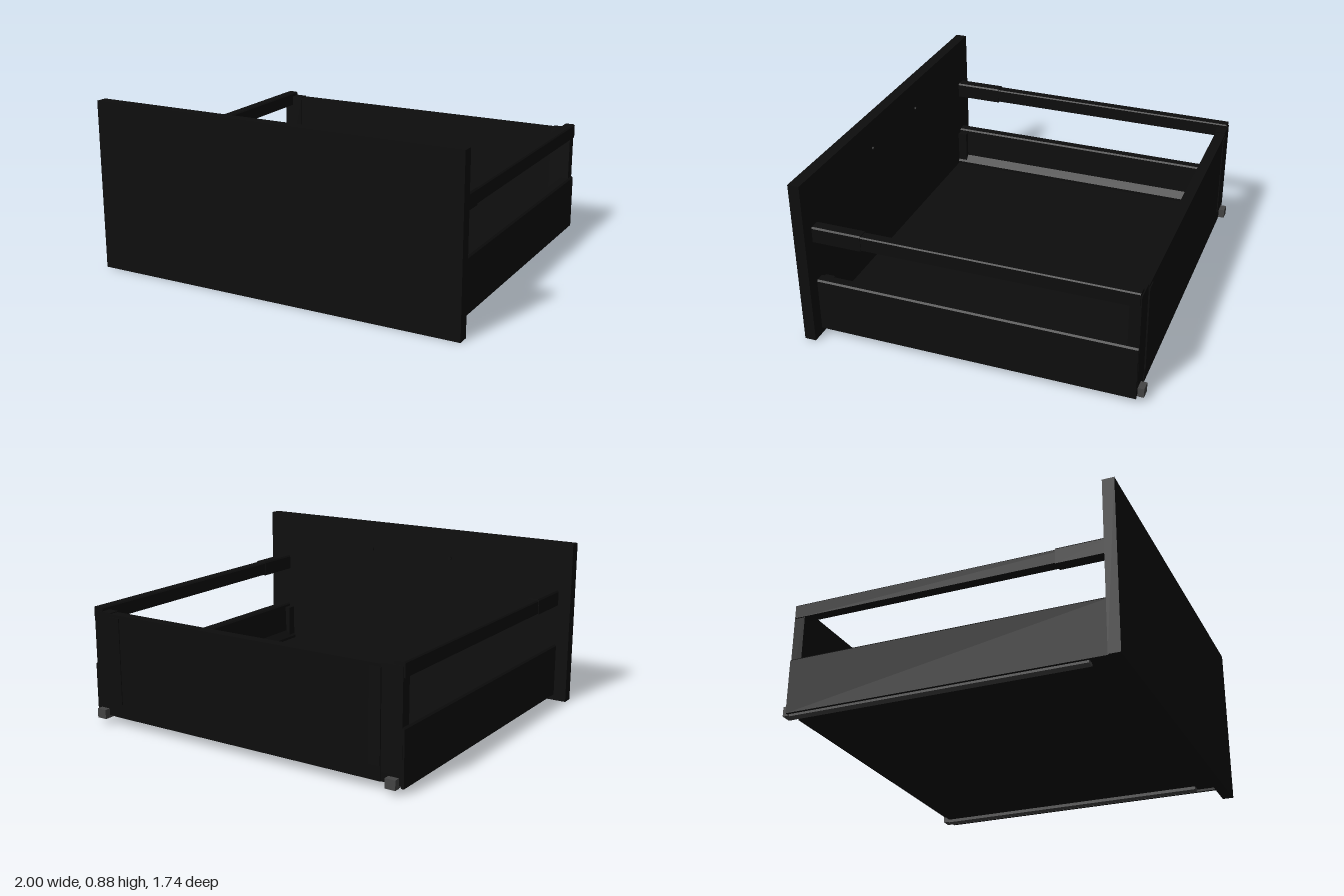
import * as THREE from 'three';

export function createModel() {
  const model = new THREE.Group();
  model.name = 'drawer';
  const black = new THREE.MeshStandardMaterial({ color: 0x0d0d0d });
  const grey = new THREE.MeshStandardMaterial({ color: 0x444444 });

  const add = (parent, name, geometry, material = black) => {
    const mesh = new THREE.Mesh(geometry, material);
    mesh.name = name;
    parent.add(mesh);
    return mesh;
  };

  // Box given by its limits on each axis
  const box = (parent, name, [x0, x1], [y0, y1], [z0, z1], material) => {
    const mesh = add(parent, name, new THREE.BoxGeometry(Math.abs(x1 - x0), y1 - y0, z1 - z0), material);
    mesh.position.set((x0 + x1) / 2, (y0 + y1) / 2, (z0 + z1) / 2);
    return mesh;
  };

  // Cross-section in x and y, swept along z
  const sweep = (parent, name, points, z0, z1, side, material) => {
    const shape = new THREE.Shape(points.map(([x, y]) => new THREE.Vector2(side * x, y)));
    const geometry = new THREE.ExtrudeGeometry(shape, { depth: z1 - z0, bevelEnabled: false });
    add(parent, name, geometry, material).position.z = z0;
  };

  // Panels
  box(model, 'frontPanel', [-1, 1], [0, 0.885], [0.81, 0.87]);
  box(model, 'floorPanel', [-0.86, 0.86], [0.045, 0.1], [-0.84, 0.81]);
  box(model, 'backPanel', [-0.81, 0.81], [0.045, 0.595], [-0.845, -0.79]);

  for (const side of [1, -1]) {
    const group = new THREE.Group();
    group.name = side > 0 ? 'leftSide' : 'rightSide';
    model.add(group);
    const span = (a, b) => [side * a, side * b];

    // Side wall with a sloping foot on the inside
    sweep(group, 'sideWall', [
      [0.93, 0.032], [0.93, 0.312], [0.922, 0.32], [0.878, 0.32],
      [0.87, 0.312], [0.865, 0.15], [0.83, 0.115], [0.83, 0.1],
      [0.86, 0.1], [0.86, 0.045], [0.915, 0.045], [0.915, 0.032],
    ], -0.84, 0.81, side);

    // Upper rail and its front sleeve
    sweep(group, 'upperRail', [
      [0.927, 0.547], [0.927, 0.614], [0.921, 0.62], [0.876, 0.62], [0.87, 0.614], [0.87, 0.547],
    ], -0.837, 0.81, side);
    sweep(group, 'railSleeve', [
      [0.93, 0.542], [0.93, 0.617], [0.923, 0.625], [0.873, 0.625], [0.866, 0.617], [0.866, 0.542],
    ], 0.55, 0.81, side);

    // Rear post and the flange that holds the back panel
    box(group, 'rearPost', span(0.81, 0.92), [0.09, 0.6], [-0.842, -0.785]);
    box(group, 'rearFlange', span(0.75, 0.81), [0.12, 0.58], [-0.85, -0.845]);

    // Front fixing bracket
    box(group, 'frontBracket', span(0.84, 0.87), [0.1, 0.3], [0.76, 0.81]);

    // Runner under the wall with its rear stop
    box(group, 'runner', span(0.855, 0.9), [0.028, 0.045], [-0.84, 0.69], grey);
    box(group, 'runnerStop', span(0.85, 0.905), [0.03, 0.08], [-0.872, -0.84], grey);

    // Screw head on the back of the front panel
    const screw = add(group, 'screwHead', new THREE.CylinderGeometry(0.01, 0.01, 0.01, 16));
    screw.rotation.x = Math.PI / 2;
    screw.position.set(side * 0.26, 0.73, 0.806);
  }
  return model;
}
